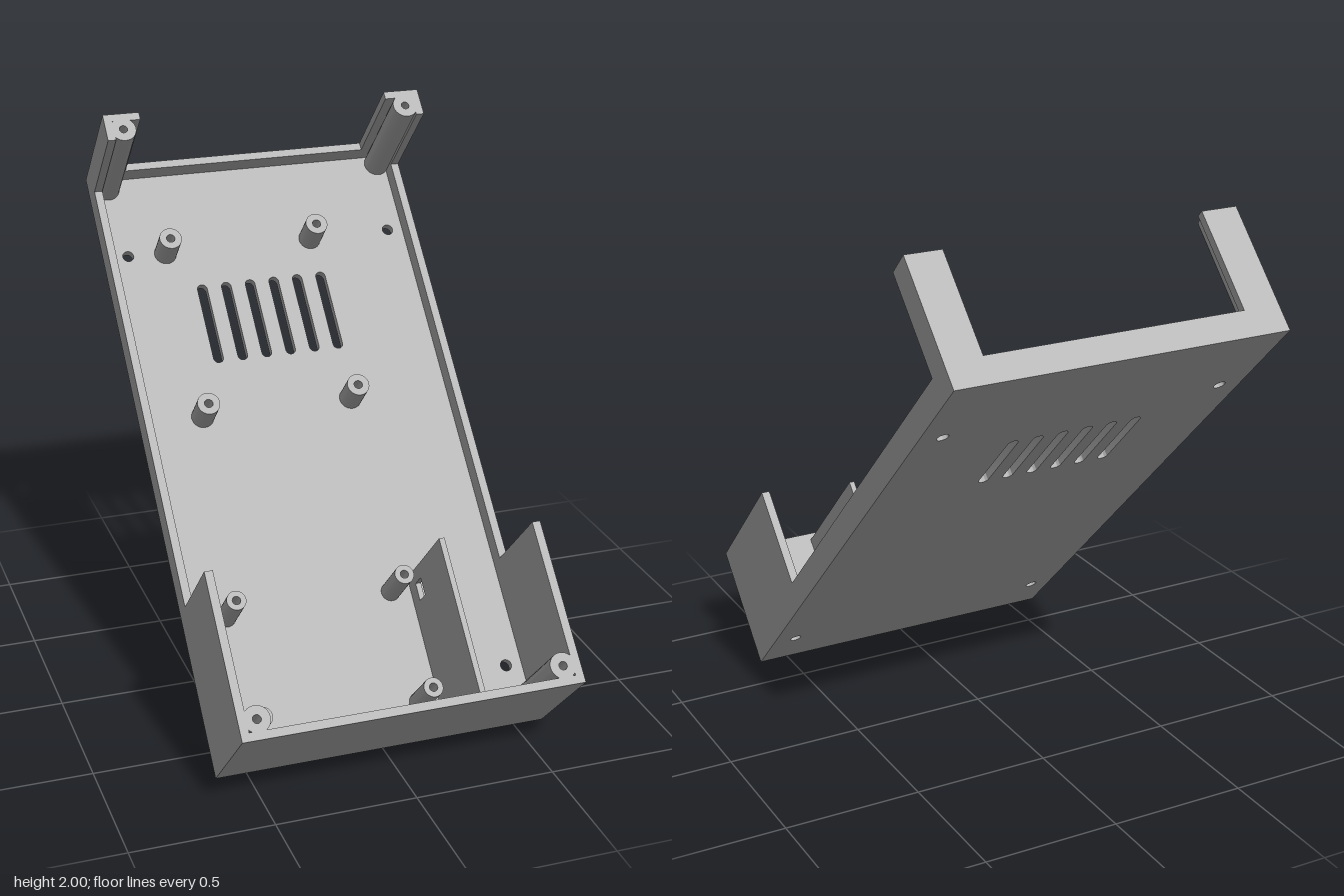
import * as THREE from 'three';
import { toCreasedNormals } from 'three/addons/utils/BufferGeometryUtils.js';

// Tray is modelled flat: x = width, y = length, z = depth; then tilted 45 degrees.
const W = 0.61, L = 2.357, D = 0.471, T = 0.03, LOW = 0.097;

const poly = (pts) => new THREE.Shape(pts.map(([x, y]) => new THREE.Vector2(x, y)));
const circle = (x, y, r) => new THREE.Path().absarc(x, y, r, 0, Math.PI * 2, true);
const rect = (x0, y0, x1, y1) => [[x0, y0], [x1, y0], [x1, y1], [x0, y1]];

function extrude(shape, depth) {
  const g = new THREE.ExtrudeGeometry(shape, { depth, bevelEnabled: false, curveSegments: 16 });
  return toCreasedNormals(g, 0.6);
}

export function createModel() {
  const grey = new THREE.MeshStandardMaterial({ color: 0xb8b8b8 });
  grey.name = 'plasticGrey';
  const tray = new THREE.Group();
  tray.name = 'tray';
  const add = (name, geometry, x = 0, y = 0, z = 0) => {
    const m = new THREE.Mesh(geometry, grey);
    m.name = name;
    m.position.set(x, y, z);
    tray.add(m);
  };

  // Floor with vent slots and screw holes
  const floor = poly(rect(-W + T, T, W - T, L - T));
  for (let i = 0; i < 6; i++) {
    const x = -0.267 + i * 0.094, r = 0.019, y0 = 1.525 + r, y1 = 1.85 - r;
    const slot = new THREE.Path();
    slot.absarc(x, y1, r, 0, Math.PI, false);
    slot.absarc(x, y0, r, Math.PI, Math.PI * 2, false);
    slot.closePath();
    floor.holes.push(slot);
  }
  for (const x of [-0.52, 0.52]) for (const y of [0.21, 2.0]) floor.holes.push(circle(x, y, 0.021));
  add('floor', extrude(floor, T));

  // Side walls: tall at both ends, low between
  const side = poly([[0, 0], [D, 0], [D, 0.592], [LOW, 0.592], [LOW, 2.25], [D, 2.25], [D, L], [0, L]]);
  const sideGeo = extrude(side, T).rotateY(-Math.PI / 2);
  add('leftWall', sideGeo, W);
  add('rightWall', sideGeo, -W + T);

  // End walls: full at the bottom, cut out at the top
  const w = W - T, c = 0.475;
  const top = poly([[-w, 0], [w, 0], [w, D], [c, D], [c, LOW], [-c, LOW], [-c, D], [-w, D]]);
  add('topWall', extrude(top, T).rotateX(Math.PI / 2), 0, L);
  add('bottomWall', extrude(poly(rect(-w, 0, w, D)), T).rotateX(Math.PI / 2), 0, T);

  // Hollow bosses: name, x positions, y positions, radius, bore, top height
  const bosses = [
    ['cornerBoss', [-0.545, 0.545], [0.07, 2.292], 0.047, 0.015, D],
    ['upperStandoff', [-0.377, 0.197], [1.317, 1.995], 0.042, 0.016, 0.154],
    ['lowerStandoff', [-0.457, 0.162], [0.132, 0.55], 0.035, 0.015, 0.221],
  ];
  for (const [name, xs, ys, r, bore, height] of bosses) {
    const ring = new THREE.Shape().absarc(0, 0, r, 0, Math.PI * 2, false);
    ring.holes.push(circle(0, 0, bore));
    const geo = extrude(ring, height - T);
    for (const x of xs) for (const y of ys) add(name, geo, x, y, T);
  }

  // Upright divider with a small window
  const divider = poly(rect(T, T, 0.444, 0.592));
  divider.holes.push(new THREE.Path(rect(0.1, 0.48, 0.165, 0.545).reverse().map(([x, y]) => new THREE.Vector2(x, y))));
  add('divider', extrude(divider, 0.02).rotateY(-Math.PI / 2), 0.258);

  tray.rotation.x = -Math.PI / 4;
  tray.position.z = 0.667;
  const model = new THREE.Group();
  model.name = 'tiltedEnclosure';
  model.add(tray);
  return model;
}
